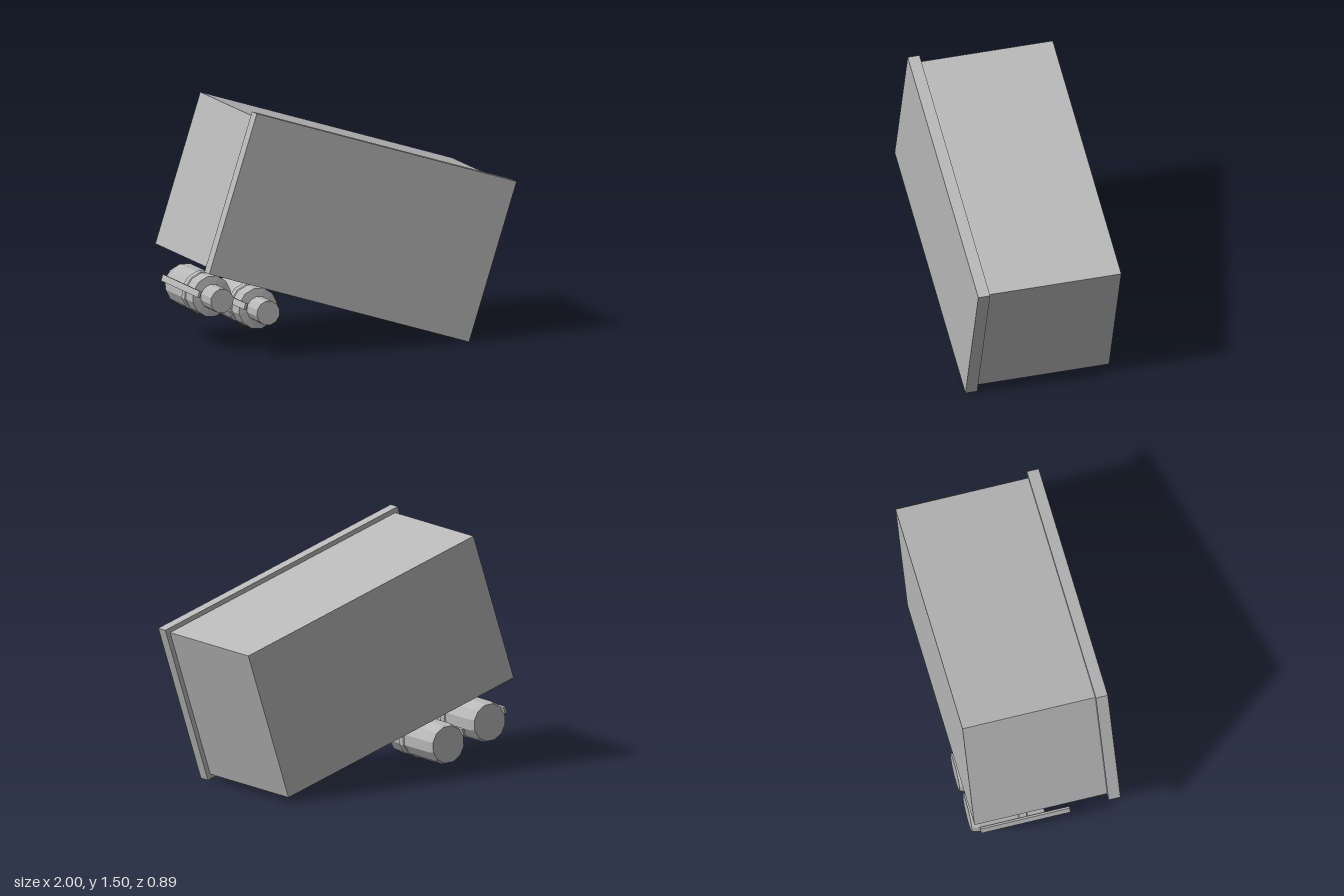
import * as THREE from 'three';

export function createModel() {
  const grey = new THREE.MeshStandardMaterial({ color: 0xb8b8b8, flatShading: true });
  grey.name = 'plain grey';

  // Everything leans by the same angle
  const model = new THREE.Group();
  model.name = 'tiltedCabinet';
  const tilted = new THREE.Group();
  tilted.name = 'tiltedAssembly';
  tilted.position.y = 0.755;
  tilted.rotation.z = -THREE.MathUtils.degToRad(18);
  model.add(tilted);

  function add(parent, name, geometry, x, y, z) {
    const mesh = new THREE.Mesh(geometry, grey);
    mesh.name = name;
    mesh.position.set(x, y, z);
    parent.add(mesh);
    return mesh;
  }

  // Cabinet: long body and a slightly larger front panel
  add(tilted, 'cabinetBody', new THREE.BoxGeometry(1.722, 0.946, 0.817), 0, 0, -0.0365);
  add(tilted, 'frontPanel', new THREE.BoxGeometry(1.777, 1.002, 0.073), 0, 0, 0.4085);

  // Canister profile: radius and position along the axis, back to front
  const profile = [
    [0, -0.445], [0.115, -0.445], [0.126, -0.41], [0.126, -0.16],
    [0.132, -0.155], [0.132, -0.11], [0.126, -0.105], [0.126, 0],
    [0.075, 0.005], [0.075, 0.155], [0, 0.155],
  ].map(([r, y]) => new THREE.Vector2(r, y));
  const canisterGeometry = new THREE.LatheGeometry(profile, 12).rotateX(Math.PI / 2);
  const barGeometry = new THREE.BoxGeometry(0.015, 0.04, 0.55);

  // Two canisters under the cabinet, each with a thin bar beside it
  for (const x of [-0.617, -0.301]) {
    const unit = new THREE.Group();
    unit.name = 'canisterUnit';
    unit.position.set(x, -0.659, 0);
    add(unit, 'canister', canisterGeometry, 0, 0, 0);
    add(unit, 'sideBar', barGeometry, -0.153, 0.003, -0.125);
    tilted.add(unit);
  }
  return model;
}
